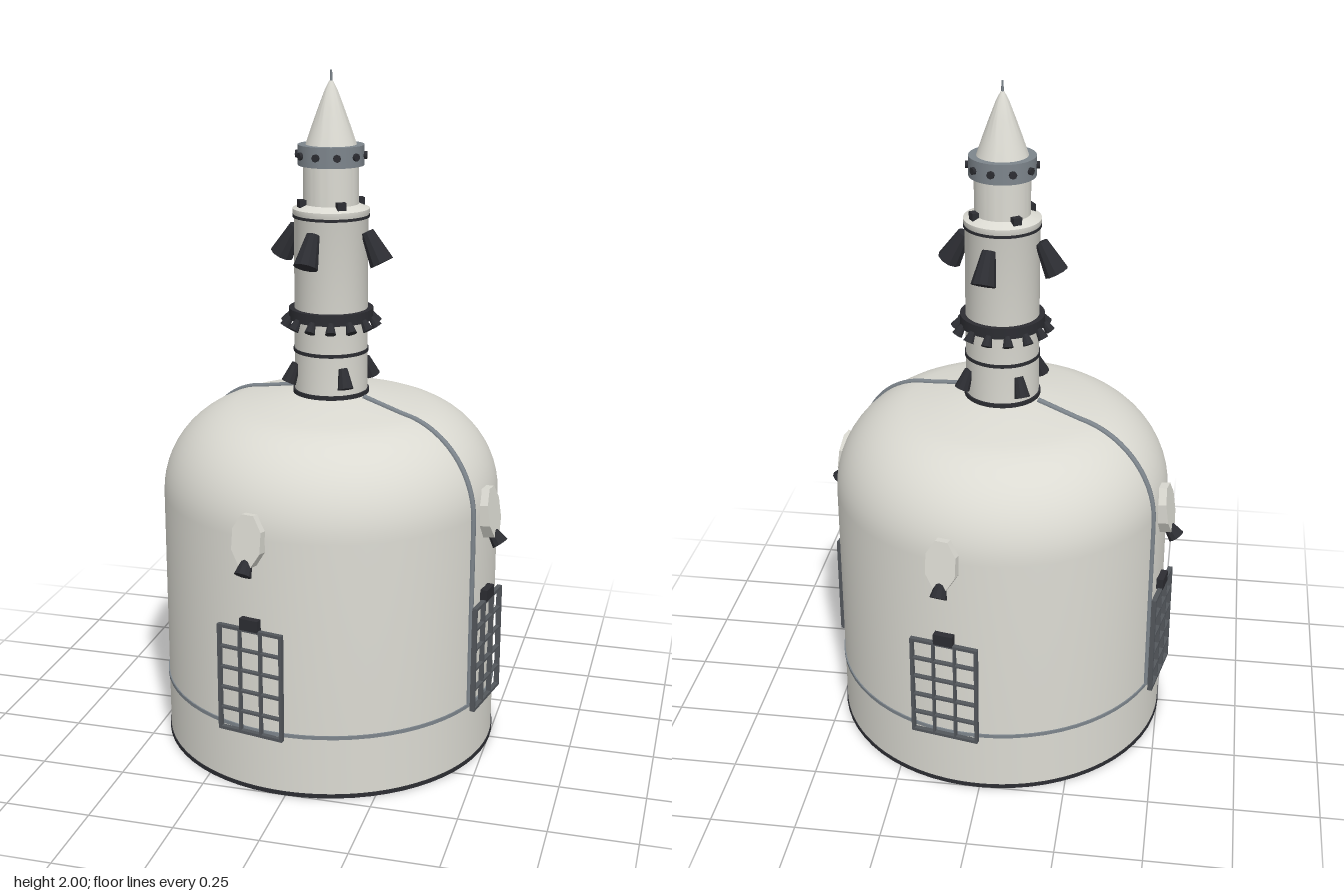
import * as THREE from 'three';
import { toCreasedNormals } from 'three/addons/utils/BufferGeometryUtils.js';

const material = (name, color) => {
  const m = new THREE.MeshStandardMaterial({ color });
  m.name = name;
  return m;
};

export function createModel() {
  const model = new THREE.Group();
  model.name = 'capsuleFairing';

  const shellPaint = material('warm white', 0xdbdad2);
  shellPaint.side = THREE.DoubleSide;
  const steel = material('steel grey', 0x7d858c);
  const lattice = material('lattice grey', 0x53575c);
  const dark = material('charcoal', 0x2c2d32);

  const add = (parent, name, geometry, mat, x = 0, y = 0, z = 0) => {
    const mesh = new THREE.Mesh(geometry, mat);
    mesh.name = name;
    mesh.position.set(x, y, z);
    parent.add(mesh);
    return mesh;
  };
  const flat = (g) => toCreasedNormals(g, 0.1);
  const lathe = (name, pts, mat, segments = 64) =>
    add(model, name, toCreasedNormals(
      new THREE.LatheGeometry(pts.map((p) => new THREE.Vector2(p[0], p[1])), segments), 0.45), mat);
  // Closed band around the vertical axis
  const band = (name, r, y0, y1, mat, inner = r - 0.012) =>
    lathe(name, [[inner, y0], [r, y0], [r, y1], [inner, y1]], mat);
  // Groups spread evenly around the axis, their local +z pointing outward
  const around = (name, count, offset, build) => {
    for (let i = 0; i < count; i++) {
      const g = new THREE.Group();
      g.name = name;
      g.rotation.y = offset + (i * Math.PI * 2) / count;
      build(g);
      model.add(g);
    }
  };
  // Faceted nozzle flaring down and outward
  const nozzle = (parent, name, y, r, length, rTop, rBottom, tilt) => {
    const m = add(parent, name, flat(new THREE.CylinderGeometry(rTop, rBottom, length, 10)), dark, 0, y, r);
    m.rotation.x = -tilt;
    return m;
  };

  // Main shell: straight wall, rounded shoulder, shallow cap
  const dome = [];
  for (let i = 0; i <= 14; i++) {
    const a = (i / 14) * 1.47;
    dome.push([0.23 + 0.27 * Math.cos(a), 0.77 + 0.27 * Math.sin(a)]);
  }
  lathe('shell', [[0.5, 0], [0.5, 0.19], ...dome, [0.11, 1.068], [0, 1.07]], shellPaint, 96);
  lathe('innerCone', [[0.18, 0.005], [0.498, 0.185]], shellPaint, 96);
  band('baseRing', 0.503, 0, 0.012, dark);
  band('innerRing', 0.184, 0.0, 0.008, dark, 0.177);
  band('seamRing', 0.504, 0.185, 0.196, steel);

  // Conduits running up the shell on opposite sides
  const path = new THREE.CatmullRomCurve3(
    [[0.5, 0.19], [0.5, 0.45], ...dome, [0.12, 1.067]].map((p) => new THREE.Vector3(0, p[1], p[0])));
  around('conduit', 2, 1.2, (g) =>
    add(g, 'conduitPipe', new THREE.TubeGeometry(path, 60, 0.009, 8), steel));

  const turn = -0.197;

  // Lattice fins with their hinge blocks
  around('gridFin', 4, turn, (g) => {
    const r = 0.511;
    for (let i = 0; i <= 3; i++) {
      const w = i % 3 === 0 ? 0.009 : 0.006;
      add(g, 'finUpright', new THREE.BoxGeometry(w, 0.324, 0.014), lattice, -0.098 + (i * 0.196) / 3, 0.342, r);
    }
    for (let i = 0; i <= 5; i++) {
      const h = i % 5 === 0 ? 0.009 : 0.006;
      add(g, 'finCrossbar', new THREE.BoxGeometry(0.2, h, 0.014), lattice, 0, 0.184 + i * 0.0632, r);
    }
    add(g, 'finHinge', new THREE.BoxGeometry(0.058, 0.034, 0.026), dark, 0, 0.518, r - 0.004);
  });

  // Thruster pods: stretched octagons leaning in with the shoulder
  around('thrusterPod', 4, turn, (g) => {
    const geo = new THREE.CylinderGeometry(0.048, 0.048, 0.05, 8);
    geo.rotateY(Math.PI / 8).rotateX(Math.PI / 2).scale(1, 1.65, 1);
    const pod = add(g, 'podBody', flat(geo), shellPaint, 0, 0.768, 0.5);
    pod.rotation.x = -0.14;
    nozzle(g, 'podNozzle', 0.697, 0.53, 0.05, 0.014, 0.025, 0.65);
  });

  // Escape tower: lower motor section
  lathe('towerBody', [[0.107, 1.06], [0.107, 1.59], [0.111, 1.6], [0.111, 1.612], [0.08, 1.625],
    [0.08, 1.74]], shellPaint);
  band('towerFoot', 0.112, 1.066, 1.08, dark);
  band('towerSeam', 0.11, 1.193, 1.203, dark);
  band('towerUpperSeam', 0.111, 1.587, 1.595, dark);
  band('towerCollar', 0.123, 1.29, 1.322, dark, 0.1);
  around('collarNozzle', 14, turn, (g) =>
    nozzle(g, 'smallNozzle', 1.284, 0.129, 0.032, 0.009, 0.016, 0.6));
  around('mainNozzle', 4, turn, (g) => {
    nozzle(g, 'largeNozzle', 1.508, 0.138, 0.098, 0.019, 0.036, 0.5);
  });
  around('lowerNozzle', 4, turn + Math.PI / 4, (g) =>
    nozzle(g, 'mediumNozzle', 1.133, 0.119, 0.06, 0.013, 0.023, 0.4));
  around('shoulderStud', 4, turn + Math.PI / 4, (g) =>
    add(g, 'stud', new THREE.BoxGeometry(0.026, 0.022, 0.024), dark, 0, 1.628, 0.086));

  // Upper band with ports, then the pointed nose and its rod
  band('upperBand', 0.095, 1.735, 1.793, steel, 0.06);
  around('bandPort', 10, turn, (g) => {
    const port = add(g, 'port', new THREE.CylinderGeometry(0.011, 0.011, 0.016, 8), dark, 0, 1.764, 0.095);
    port.rotation.x = Math.PI / 2;
  });
  lathe('nose', [[0.074, 1.79], [0.057, 1.84], [0.037, 1.895], [0.018, 1.945], [0.005, 1.97], [0, 1.972]],
    shellPaint, 48);
  add(model, 'noseRod', new THREE.CylinderGeometry(0.003, 0.004, 0.04, 8), steel, 0, 1.98, 0);

  return model;
}
